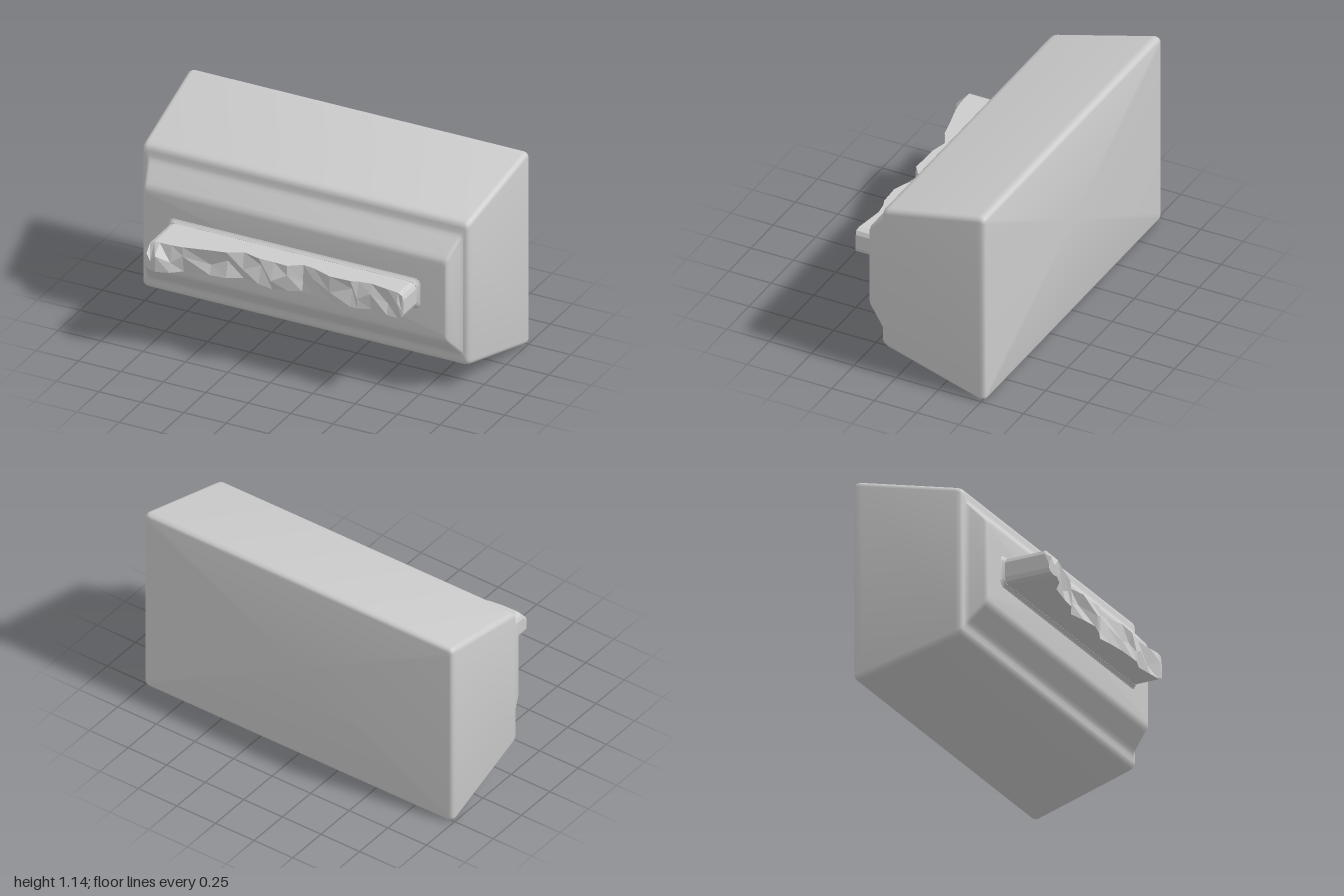
import * as THREE from 'three';
import { toCreasedNormals } from 'three/addons/utils/BufferGeometryUtils.js';

const MID_Y = 0.57;

// Skin a closed solid over rings that run counter-clockwise seen from the sweep direction
function loft(rings) {
  const n = rings[0].length, pos = [], idx = [];
  rings.forEach(r => r.forEach(p => pos.push(...p)));
  for (let i = 0; i < rings.length - 1; i++) {
    for (let j = 0; j < n; j++) {
      const a = i * n + j, b = i * n + (j + 1) % n;
      idx.push(a, b, b + n, a, b + n, a + n);
    }
  }
  // End caps as fans from the ring centre
  [0, rings.length - 1].forEach(k => {
    const c = pos.length / 3;
    for (let d = 0; d < 3; d++) pos.push(rings[k].reduce((s, p) => s + p[d], 0) / n);
    for (let j = 0; j < n; j++) {
      const a = k * n + j, b = k * n + (j + 1) % n;
      idx.push(c, ...(k ? [a, b] : [b, a]));
    }
  });
  const g = new THREE.BufferGeometry();
  g.setAttribute('position', new THREE.Float32BufferAttribute(pos, 3));
  g.setIndex(idx);
  return g;
}

// Rounded rectangle ring at depth z
function roundedRing(z, hw, hh, r, cx = 0, cy = MID_Y) {
  const ring = [], steps = 4;
  [[1, 1], [-1, 1], [-1, -1], [1, -1]].forEach(([sx, sy], q) => {
    for (let i = 0; i <= steps; i++) {
      const a = (q + i / steps) * Math.PI / 2;
      ring.push([cx + sx * (hw - r) + r * Math.cos(a), cy + sy * (hh - r) + r * Math.sin(a), z]);
    }
  });
  return ring;
}

export function createModel() {
  const group = new THREE.Group();
  const add = (name, geometry, flatShading = false) => {
    const mesh = new THREE.Mesh(geometry, new THREE.MeshStandardMaterial({ color: 0xcccccc, flatShading }));
    mesh.name = name;
    group.add(mesh);
  };

  // Tapered housing with a rounded lip and raised front panel: z, half width, half height, corner radius
  const sections = [
    [-0.522, 0.978, 0.545, 0.02], [-0.518, 0.99, 0.558, 0.025], [-0.508, 0.998, 0.566, 0.03],
    [-0.49, 1.0, 0.569, 0.03], [-0.47, 0.999, 0.564, 0.03],
    [0.07, 0.965, 0.43, 0.03], [0.09, 0.961, 0.422, 0.03], [0.103, 0.953, 0.41, 0.025],
    [0.108, 0.945, 0.39, 0.02], [0.11, 0.934, 0.365, 0.02], [0.118, 0.926, 0.348, 0.02],
    [0.132, 0.92, 0.333, 0.02], [0.2, 0.897, 0.258, 0.02], [0.212, 0.892, 0.244, 0.02],
    [0.218, 0.886, 0.23, 0.02], [0.22, 0.875, 0.215, 0.02],
  ];
  add('housing', toCreasedNormals(loft(sections.map(s => roundedRing(...s))), 0.6));

  // Small fillet where the sheet leaves the housing
  const fillet = [[0.21, 0.746], [0.221, 0.744], [0.225, 0.738], [0.24, 0.73]];
  add('slotFillet', toCreasedNormals(
    loft(fillet.map(([z, hw]) => roundedRing(z, hw, hw - 0.654, 0.035, -0.004, 0.575))), 0.6));

  // Thick torn sheet, as columns: x, half height, front depth at bottom, middle and top edge
  const columns = [
    [-0.734, 0.042, 0.5, 0.5, 0.475], [-0.724, 0.064, 0.505, 0.51, 0.47], [-0.7, 0.075, 0.51, 0.515, 0.465],
    [-0.67, 0.075, 0.515, 0.52, 0.465], [-0.6, 0.075, 0.49, 0.48, 0.462], [-0.54, 0.075, 0.44, 0.455, 0.455],
    [-0.4, 0.075, 0.415, 0.4, 0.42], [-0.31, 0.075, 0.405, 0.385, 0.4], [-0.23, 0.075, 0.36, 0.37, 0.355],
    [-0.13, 0.075, 0.385, 0.35, 0.38], [-0.04, 0.075, 0.4, 0.418, 0.38], [0.04, 0.075, 0.38, 0.39, 0.385],
    [0.11, 0.075, 0.35, 0.34, 0.335], [0.18, 0.075, 0.365, 0.36, 0.345], [0.29, 0.075, 0.38, 0.385, 0.385],
    [0.41, 0.075, 0.385, 0.36, 0.38], [0.45, 0.075, 0.385, 0.385, 0.365], [0.52, 0.075, 0.36, 0.37, 0.355],
    [0.62, 0.075, 0.375, 0.355, 0.37], [0.69, 0.075, 0.385, 0.395, 0.38], [0.716, 0.064, 0.39, 0.39, 0.385],
    [0.726, 0.042, 0.385, 0.385, 0.38],
  ];
  const sheet = loft(columns.map(([x, h, bottom, middle, top], i) => {
    const y = 0.575, my = y + (i % 2 ? 0.02 : -0.02);
    return [[x, y - h, 0.2], [x, y + h, 0.2], [x, y + h, top], [x, my, middle], [x, y - h, bottom]];
  }));
  add('tornSheet', sheet.toNonIndexed(), true);
  group.getObjectByName('tornSheet').geometry.computeVertexNormals();

  return group;
}
